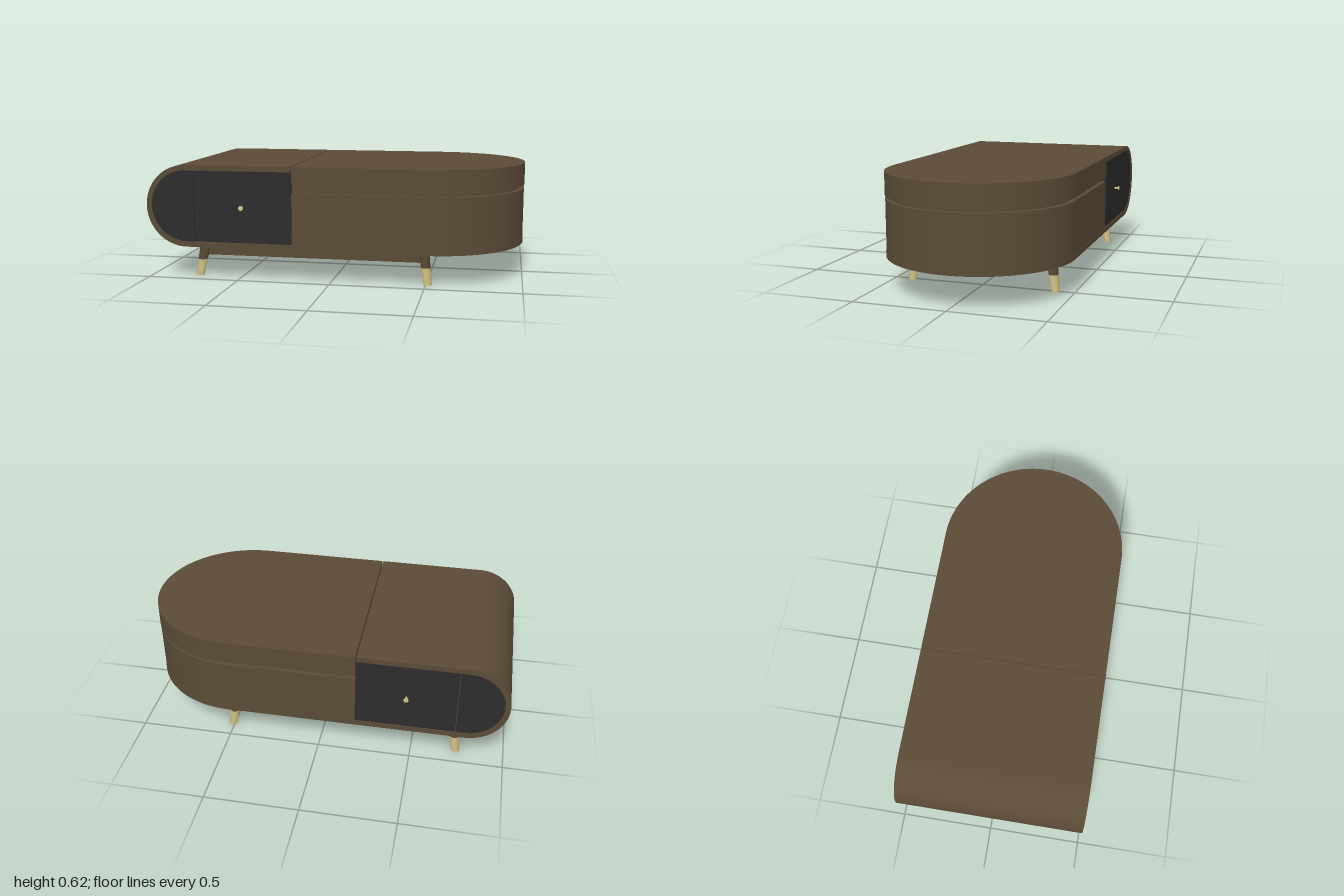
import * as THREE from 'three';
import { toCreasedNormals } from 'three/addons/utils/BufferGeometryUtils.js';

const wood = new THREE.MeshStandardMaterial({ color: 0x5a4b36 });
wood.name = 'dark wood';
const charcoal = new THREE.MeshStandardMaterial({ color: 0x2c2c2c });
charcoal.name = 'charcoal';
const brass = new THREE.MeshStandardMaterial({ color: 0xd4c484 });
brass.name = 'brass';

const CY = 0.396, CX = -0.779, R = 0.221, RI = 0.193; // rounded end in elevation
const SPLIT = -0.2;

function mesh(name, geo, mat, parent) {
  const m = new THREE.Mesh(geo, mat);
  m.name = name;
  parent.add(m);
  return m;
}

function extrude(shape, depth) {
  const g = new THREE.ExtrudeGeometry(shape, { depth, bevelEnabled: false, curveSegments: 40 });
  return toCreasedNormals(g, 0.5);
}

// Plan outline with a half-round end, raised from y0 to y1
function planSlab(x0, r, y0, y1) {
  const s = new THREE.Shape();
  s.moveTo(x0, -r);
  s.lineTo(0.5, -r);
  s.absarc(0.5, 0, r, -Math.PI / 2, Math.PI / 2, false);
  s.lineTo(x0, r);
  s.closePath();
  return extrude(s, y1 - y0).rotateX(-Math.PI / 2).translate(0, y0, 0);
}

// Elevation outline with a half-round left end
function endShape(r, x1) {
  const s = new THREE.Shape();
  s.moveTo(x1, CY + r);
  s.lineTo(CX, CY + r);
  s.absarc(CX, CY, r, Math.PI / 2, Math.PI * 1.5, false);
  s.lineTo(x1, CY - r);
  s.closePath();
  return s;
}

// Tapered round bar leaning from a to b, ends kept level
function leaningBar(a, b, ra, rb) {
  const h = b.y - a.y;
  const g = new THREE.CylinderGeometry(rb, ra, h, 24);
  const p = g.attributes.position;
  for (let i = 0; i < p.count; i++) {
    const t = p.getY(i) / h + 0.5;
    p.setXYZ(i, p.getX(i) + a.x + (b.x - a.x) * t, a.y + h * t, p.getZ(i) + a.z + (b.z - a.z) * t);
  }
  return g;
}

export function createModel() {
  const root = new THREE.Group();
  root.name = 'coffeeTable';

  // C-shaped shell wrapping the drawer end
  const c = new THREE.Shape();
  c.moveTo(SPLIT - 0.004, CY + R);
  c.lineTo(CX, CY + R);
  c.absarc(CX, CY, R, Math.PI / 2, Math.PI * 1.5, false);
  c.lineTo(SPLIT, CY - R);
  c.lineTo(SPLIT, CY - RI);
  c.lineTo(CX, CY - RI);
  c.absarc(CX, CY, RI, Math.PI * 1.5, Math.PI / 2, true);
  c.lineTo(SPLIT - 0.004, CY + RI);
  c.closePath();
  mesh('shell', extrude(c, 1).translate(0, 0, -0.5), wood, root);

  // Round end: base, cabinet, recessed core and lid
  mesh('base', planSlab(SPLIT, 0.5, 0.175, 0.203), wood, root);
  mesh('cabinet', planSlab(SPLIT + 0.001, 0.498, 0.203, 0.477), wood, root);
  mesh('core', planSlab(-0.77, 0.468, 0.204, 0.588), wood, root);
  mesh('lid', planSlab(SPLIT + 0.003, 0.5, 0.495, 0.617), wood, root);

  // Drawer front, rounded end panel and knob on both long sides
  for (const side of [1, -1]) {
    const z0 = side > 0 ? 0.466 : -0.496;
    const where = side > 0 ? 'front' : 'back';
    const x0 = -0.732, x1 = SPLIT - 0.001;
    mesh(where + 'Drawer',
      new THREE.BoxGeometry(x1 - x0, 2 * RI - 0.003, 0.03).translate((x0 + x1) / 2, CY, z0 + 0.015),
      charcoal, root);
    mesh(where + 'EndPanel', extrude(endShape(RI - 0.001, -0.735), 0.03).translate(0, 0, z0), charcoal, root);

    const profile = [[0, 0], [0.006, 0], [0.006, 0.021], [0.013, 0.024], [0.013, 0.029], [0, 0.029]]
      .map(([x, y]) => new THREE.Vector2(x, y));
    const knob = toCreasedNormals(new THREE.LatheGeometry(profile, 20), 0.5);
    knob.rotateX(side * Math.PI / 2).translate(-0.468, CY, side * 0.494);
    mesh(where + 'Knob', knob, brass, root);
  }

  // Under-frame rails
  const frame = new THREE.Group();
  frame.name = 'underFrame';
  root.add(frame);
  const xl = -0.717, xr = 0.485, zf = 0.372, y = 0.143, h = 0.065, t = 0.03;
  for (const s of [1, -1]) {
    mesh('longRail', new THREE.BoxGeometry(xr - xl, h, t).translate((xl + xr) / 2, y, s * (zf - 0.008)), wood, frame);
    mesh('shortRail', new THREE.BoxGeometry(t, h, 2 * zf).translate(s > 0 ? xr - 0.008 : xl + 0.008, y, 0), wood, frame);
  }

  // Splayed legs with brass feet
  for (const sx of [1, -1]) for (const sz of [1, -1]) {
    const top = new THREE.Vector3(sx > 0 ? xr : xl, 0.176, sz * zf);
    const foot = new THREE.Vector3(top.x + sx * 0.026, 0, sz * 0.402);
    const mid = foot.clone().lerp(top, 0.5);
    const leg = new THREE.Group();
    leg.name = 'leg';
    root.add(leg);
    mesh('legUpper', leaningBar(mid, top, 0.0255, 0.029), wood, leg);
    mesh('legFoot', leaningBar(foot, mid, 0.0215, 0.0255), brass, leg);
  }
  return root;
}
